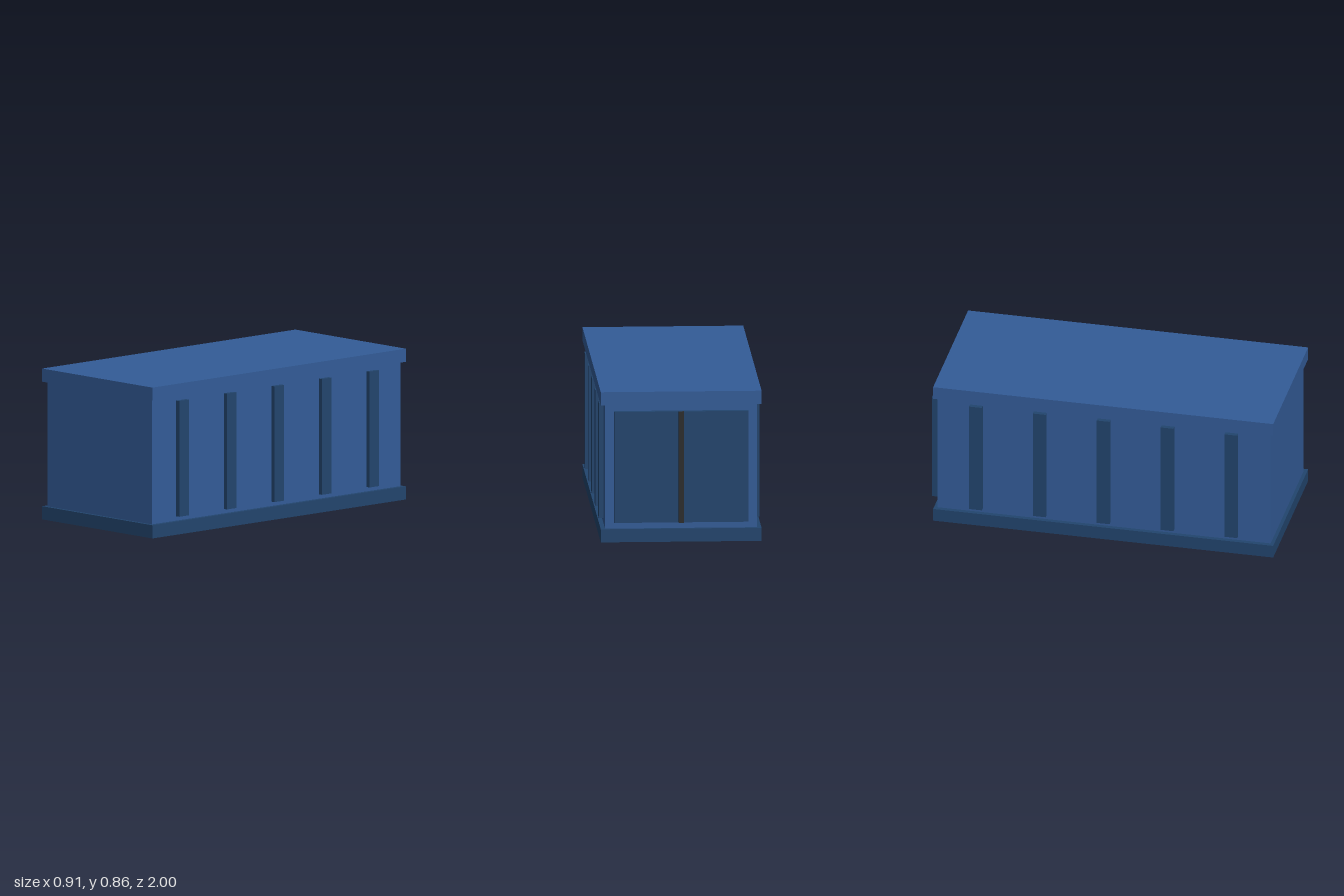
import * as THREE from 'three';

function material(name, color) {
  const m = new THREE.MeshStandardMaterial({ color });
  m.name = name;
  return m;
}

export function createModel() {
  const model = new THREE.Group();
  model.name = 'container';
  const blue = material('container blue', 0x335c98);
  const navy = material('dark blue trim', 0x22456e);
  const charcoal = material('charcoal', 0x2b2b2b);

  // Box given by its lower and upper limits on each axis
  function box(name, mat, [x0, x1], [y0, y1], [z0, z1], parent = model) {
    const mesh = new THREE.Mesh(new THREE.BoxGeometry(x1 - x0, y1 - y0, z1 - z0), mat);
    mesh.position.set((x0 + x1) / 2, (y0 + y1) / 2, (z0 + z1) / 2);
    mesh.name = name;
    parent.add(mesh);
    return mesh;
  }

  // Base, body and roof
  const midZ = 0.02;
  box('base', navy, [-0.453, 0.453], [0, 0.075], [midZ - 0.98, midZ + 0.98]);
  box('body', blue, [-0.428, 0.428], [0.075, 0.785], [midZ - 0.96, midZ + 0.96]);
  box('roof', blue, [-0.453, 0.453], [0.785, 0.86], [midZ - 0.98, midZ + 0.98]);

  // Five upright ribs along each side
  const ribs = new THREE.Group();
  ribs.name = 'sideRibs';
  model.add(ribs);
  for (const side of [-1, 1]) {
    for (let i = -2; i <= 2; i++) {
      const z = midZ + i * 0.368;
      const rib = box(side > 0 ? 'leftRib' : 'rightRib', navy,
        [0.404, 0.453], [0.1, 0.76], [z - 0.037, z + 0.037], ribs);
      rib.position.x *= side;
    }
  }

  // Rear door standing just clear of the body, with its central bar
  box('rearDoor', navy, [-0.378, 0.378], [0.115, 0.75], [-0.984, -0.953]);
  box('doorBar', charcoal, [-0.015, 0.015], [0.115, 0.75], [-1, -0.975]);

  return model;
}
